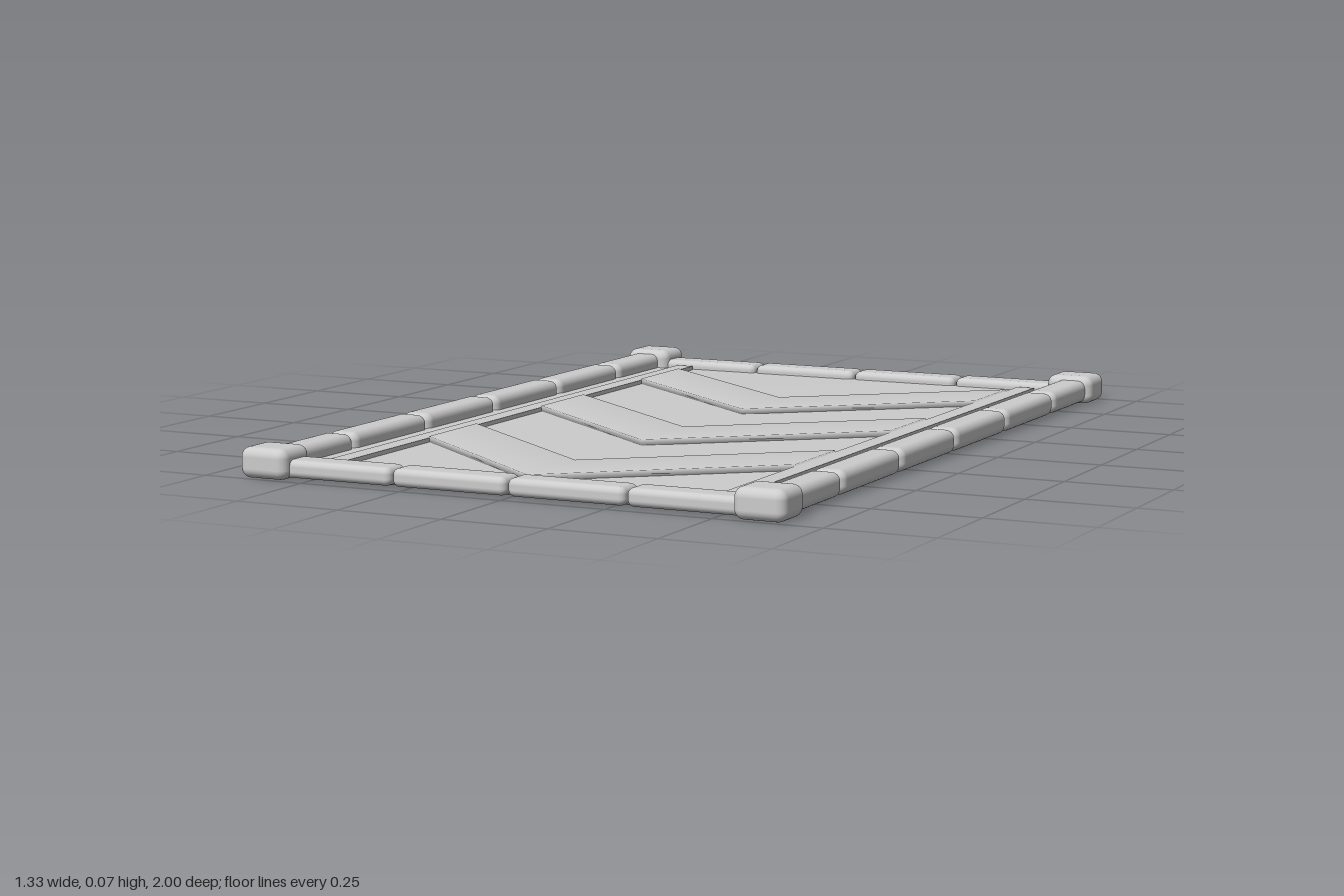
import * as THREE from 'three';
import { mergeVertices } from 'three/addons/utils/BufferGeometryUtils.js';
import { RoundedBoxGeometry } from 'three/addons/geometries/RoundedBoxGeometry.js';

// Share corners so the normals blend softly over the edges
function soften(geometry) {
  geometry.deleteAttribute('normal');
  geometry.deleteAttribute('uv');
  const merged = mergeVertices(geometry, 1e-4);
  merged.computeVertexNormals();
  return merged;
}

export function createModel() {
  const model = new THREE.Group();
  const grey = new THREE.MeshStandardMaterial({ color: 0xcccccc });
  grey.name = 'light grey';

  function add(name, geometry, x = 0, y = 0, z = 0) {
    const mesh = new THREE.Mesh(geometry, grey);
    mesh.name = name;
    mesh.position.set(x, y, z);
    model.add(mesh);
  }

  // Floor plate
  add('basePlate', soften(new THREE.BoxGeometry(1.23, 0.02, 1.9)), 0, 0.014, 0);

  // Long flat strips beside the arrows
  for (const side of [-1, 1]) {
    add('edgeStrip', new THREE.BoxGeometry(0.045, 0.012, 1.78), side * 0.488, 0.028, 0);
  }

  // Three raised chevrons pointing to the front
  const half = 0.465, band = 0.22, drop = 0.375;
  const outline = new THREE.Shape([
    [-half, 0], [0, -drop], [half, 0],
    [half, -band], [0, -drop - band], [-half, -band],
  ].map(([x, y]) => new THREE.Vector2(x, y)));
  const chevron = new THREE.ExtrudeGeometry(outline, { depth: 0.018, bevelEnabled: false });
  chevron.rotateX(-Math.PI / 2);
  const softChevron = soften(chevron);
  for (const z of [-0.805, -0.26, 0.285]) add('chevron', softChevron, 0, 0.02, z);

  // Segmented border on the long sides
  const sideBar = new RoundedBoxGeometry(0.078, 0.055, 0.326, 4, 0.02);
  for (const side of [-1, 1]) {
    for (let i = 0; i < 6; i++) {
      add('sideBorderSegment', sideBar, side * 0.609, 0.0315, (i - 2.5) * 0.33);
    }
  }

  // Segmented border on the short ends
  const endBar = new RoundedBoxGeometry(0.282, 0.041, 0.075, 4, 0.015);
  for (const end of [-1, 1]) {
    for (let i = 0; i < 4; i++) {
      add('endBorderSegment', endBar, (i - 1.5) * 0.286, 0.0245, end * 0.94);
    }
  }

  // Corner blocks
  const corner = new RoundedBoxGeometry(0.12, 0.07, 0.11, 4, 0.022);
  for (const x of [-0.603, 0.603]) {
    for (const z of [-0.945, 0.945]) add('cornerBlock', corner, x, 0.035, z);
  }

  return model;
}
